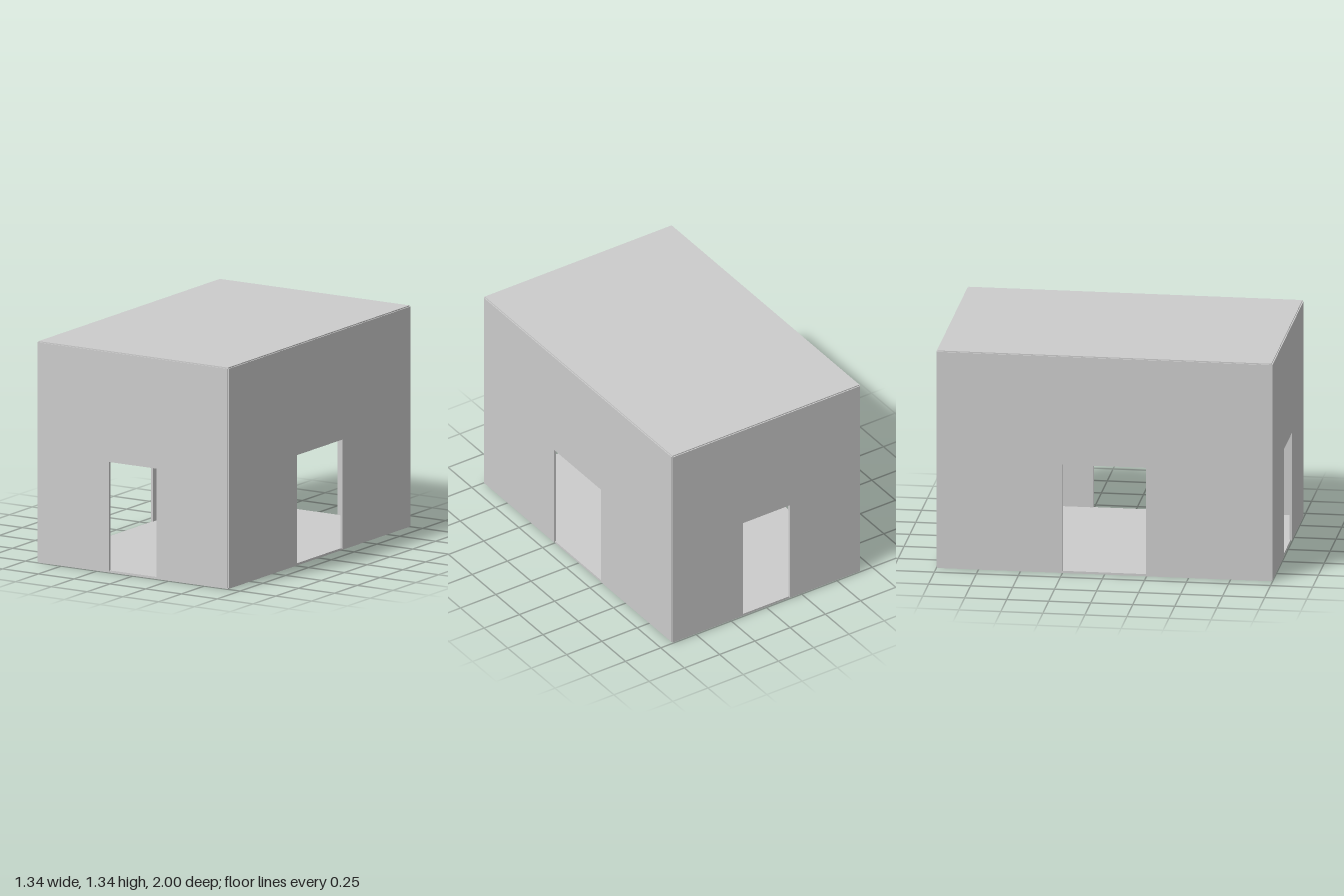
import * as THREE from 'three';

const T = 0.0132;               // panel thickness
const W = 1.3245, H = 1.3245, L = 1.9868; // spans between panel centre planes
const BASE = T / 2;             // wall foot, level with the floor's centre plane
const DOOR_H = 0.6623;

const material = new THREE.MeshStandardMaterial({ color: 0xcccccc, flatShading: true });

// Wall panel with a doorway cut up from its foot, centred on its thickness
function wallGeometry(width, doorWidth) {
  const w = width / 2, d = doorWidth / 2;
  const shape = new THREE.Shape([
    [-w, 0], [-d, 0], [-d, DOOR_H], [d, DOOR_H], [d, 0], [w, 0], [w, H], [-w, H],
  ].map(([x, y]) => new THREE.Vector2(x, y)));
  return new THREE.ExtrudeGeometry(shape, { depth: T, bevelEnabled: false }).translate(0, 0, -T / 2);
}

export function createModel() {
  const room = new THREE.Group();
  room.name = 'room';
  const add = (name, geometry, x, y, z, turn = 0) => {
    const mesh = new THREE.Mesh(geometry, material);
    mesh.name = name;
    mesh.position.set(x, y, z);
    mesh.rotation.y = turn;
    room.add(mesh);
  };

  // Floor and ceiling slabs
  const slab = new THREE.BoxGeometry(W, T, L);
  add('floor', slab, 0, BASE, 0);
  add('ceiling', slab, 0, BASE + H, 0);

  // Narrow end walls and long side walls, each with a doorway
  const endWall = wallGeometry(W, 0.331);
  const sideWall = wallGeometry(L, 0.497);
  add('frontWall', endWall, 0, BASE, L / 2);
  add('backWall', endWall, 0, BASE, -L / 2, Math.PI);
  add('leftWall', sideWall, W / 2, BASE, 0, Math.PI / 2);
  add('rightWall', sideWall, -W / 2, BASE, 0, -Math.PI / 2);

  return room;
}
